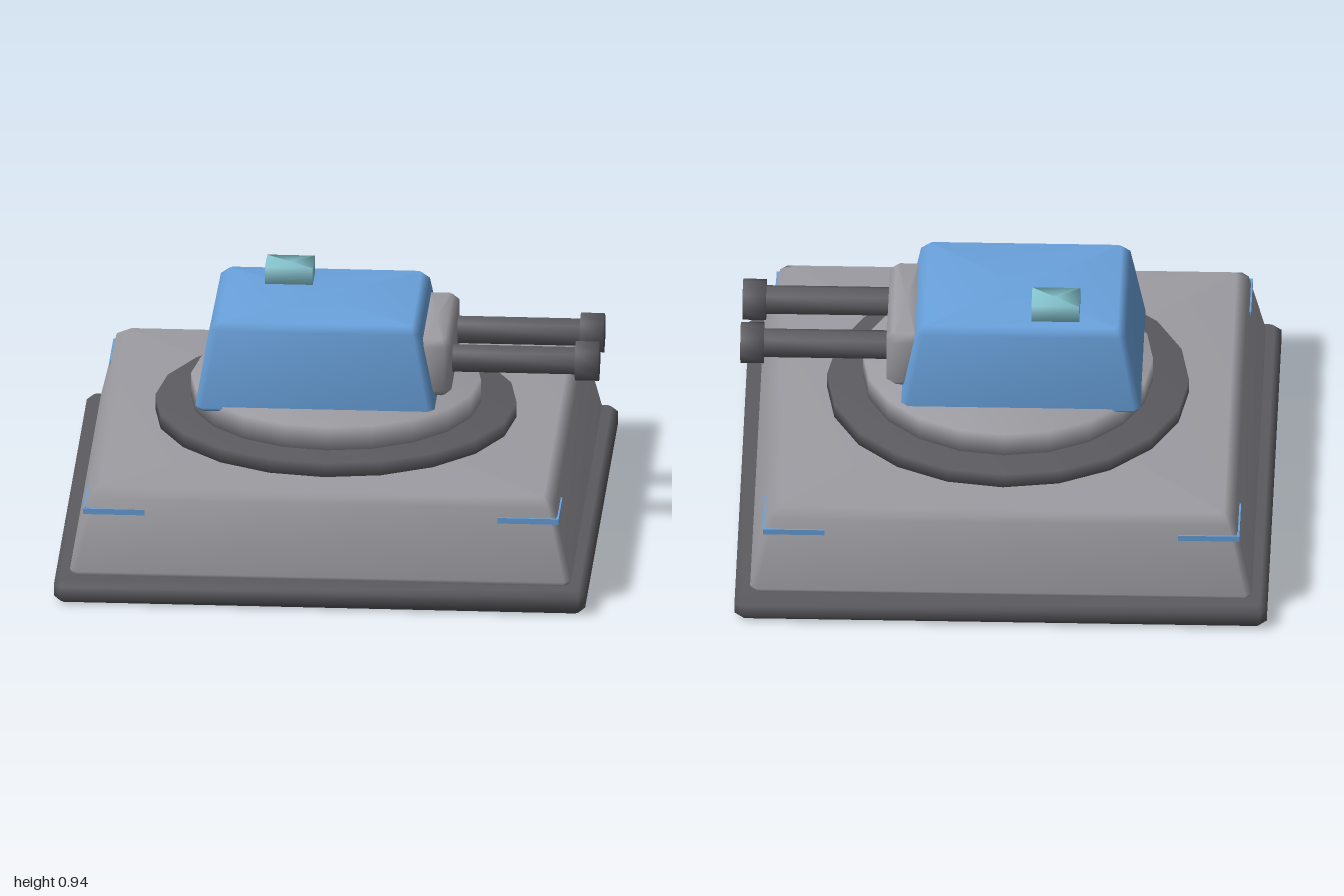
import * as THREE from 'three';

const material = (name, color) => {
  const m = new THREE.MeshStandardMaterial({ color });
  m.name = name;
  return m;
};

// Closed smooth solid through stacked rings of [x, y, z] points
function loft(rings) {
  const n = rings[0].length, last = rings.length - 1;
  const positions = rings.flat(2), index = [];
  const addCentre = (ring) => {
    for (let k = 0; k < 3; k++) positions.push(ring.reduce((s, p) => s + p[k], 0) / n);
    return positions.length / 3 - 1;
  };
  const bottom = addCentre(rings[0]), top = addCentre(rings[last]);
  for (let i = 0; i < n; i++) {
    const j = (i + 1) % n;
    for (let r = 0; r < last; r++) {
      const a = r * n + i, b = r * n + j;
      index.push(a, a + n, b, b, a + n, b + n);
    }
    index.push(bottom, i, j, top, last * n + j, last * n + i);
  }
  const g = new THREE.BufferGeometry();
  g.setAttribute('position', new THREE.Float32BufferAttribute(positions, 3));
  g.setIndex(index);
  g.computeVertexNormals();
  return g;
}

// Rectangle with cut corners at height y
const rect = (y, x0, x1, z0, z1, c) => [
  [x1, y, z0 + c], [x1, y, z1 - c], [x1 - c, y, z1], [x0 + c, y, z1],
  [x0, y, z1 - c], [x0, y, z0 + c], [x0 + c, y, z0], [x1 - c, y, z0],
];
const square = (y, h, c) => rect(y, -h, h, -h, h, c);

// Regular polygon at height y
const circle = (y, r, sides) => Array.from({ length: sides }, (_, i) => {
  const a = (i / sides) * Math.PI * 2;
  return [r * Math.cos(a), y, r * Math.sin(a)];
});

export function createModel() {
  const group = new THREE.Group();
  const light = material('light grey', 0x9c9ca2);
  const dark = material('dark grey', 0x5c5b60);
  const blue = material('blue', 0x6aa3de);
  const teal = material('teal', 0x85c4cf);

  const add = (name, geometry, mat) => {
    const mesh = new THREE.Mesh(geometry, mat);
    mesh.name = name;
    group.add(mesh);
    return mesh;
  };

  // Stepped base
  add('baseSlab', loft([
    square(0, 0.975, 0.012), square(0.025, 1, 0.025),
    square(0.068, 1, 0.025), square(0.092, 0.975, 0.012),
  ]), dark);
  add('basePlinth', loft([
    square(0.085, 0.925, 0.012), square(0.11, 0.943, 0.025),
    square(0.382, 0.88, 0.025), square(0.412, 0.835, 0.012),
  ]), light);

  // Rotating rings
  add('bearingRing', loft([circle(0.405, 0.68, 20), circle(0.468, 0.68, 20)]), dark);
  add('turntable', loft([circle(0.46, 0.545, 20), circle(0.56, 0.545, 20)]), light);

  // Tapered turret housing
  add('turretHousing', loft([
    rect(0.537, -0.49, 0.37, -0.34, 0.34, 0.012),
    rect(0.555, -0.508, 0.393, -0.358, 0.358, 0.025),
    rect(0.85, -0.452, 0.335, -0.318, 0.318, 0.025),
    rect(0.878, -0.42, 0.305, -0.29, 0.29, 0.012),
  ]), blue);
  add('sensor', loft([
    rect(0.87, -0.275, -0.095, -0.25, -0.117, 0.002),
    rect(0.945, -0.275, -0.095, -0.25, -0.117, 0.002),
  ]), teal);

  // Gun shield and twin barrels
  add('gunShield', loft([
    rect(0.585, 0.335, 0.425, -0.245, 0.245, 0.012),
    rect(0.61, 0.31, 0.45, -0.27, 0.27, 0.025),
    rect(0.785, 0.31, 0.45, -0.27, 0.27, 0.025),
    rect(0.81, 0.335, 0.425, -0.245, 0.245, 0.012),
  ]), light);
  for (const side of [-1, 1]) {
    const barrel = loft([circle(0.4, 0.055, 8), circle(0.93, 0.055, 8)]).rotateZ(-Math.PI / 2);
    const muzzle = loft([circle(0.912, 0.079, 8), circle(1, 0.079, 8)]).rotateZ(-Math.PI / 2);
    add('barrel', barrel, dark).position.set(0, 0.7, side * 0.15);
    add('muzzle', muzzle, dark).position.set(0, 0.7, side * 0.15);
  }

  // Painted corner brackets on the plinth
  for (const sx of [-1, 1]) {
    for (const sz of [-1, 1]) {
      add('cornerStripe', new THREE.BoxGeometry(0.23, 0.022, 0.009), blue)
        .position.set(sx * 0.779, 0.335, sz * 0.8905);
      add('cornerStripe', new THREE.BoxGeometry(0.009, 0.022, 0.23), blue)
        .position.set(sx * 0.8905, 0.335, sz * 0.779);
    }
  }
  return group;
}
